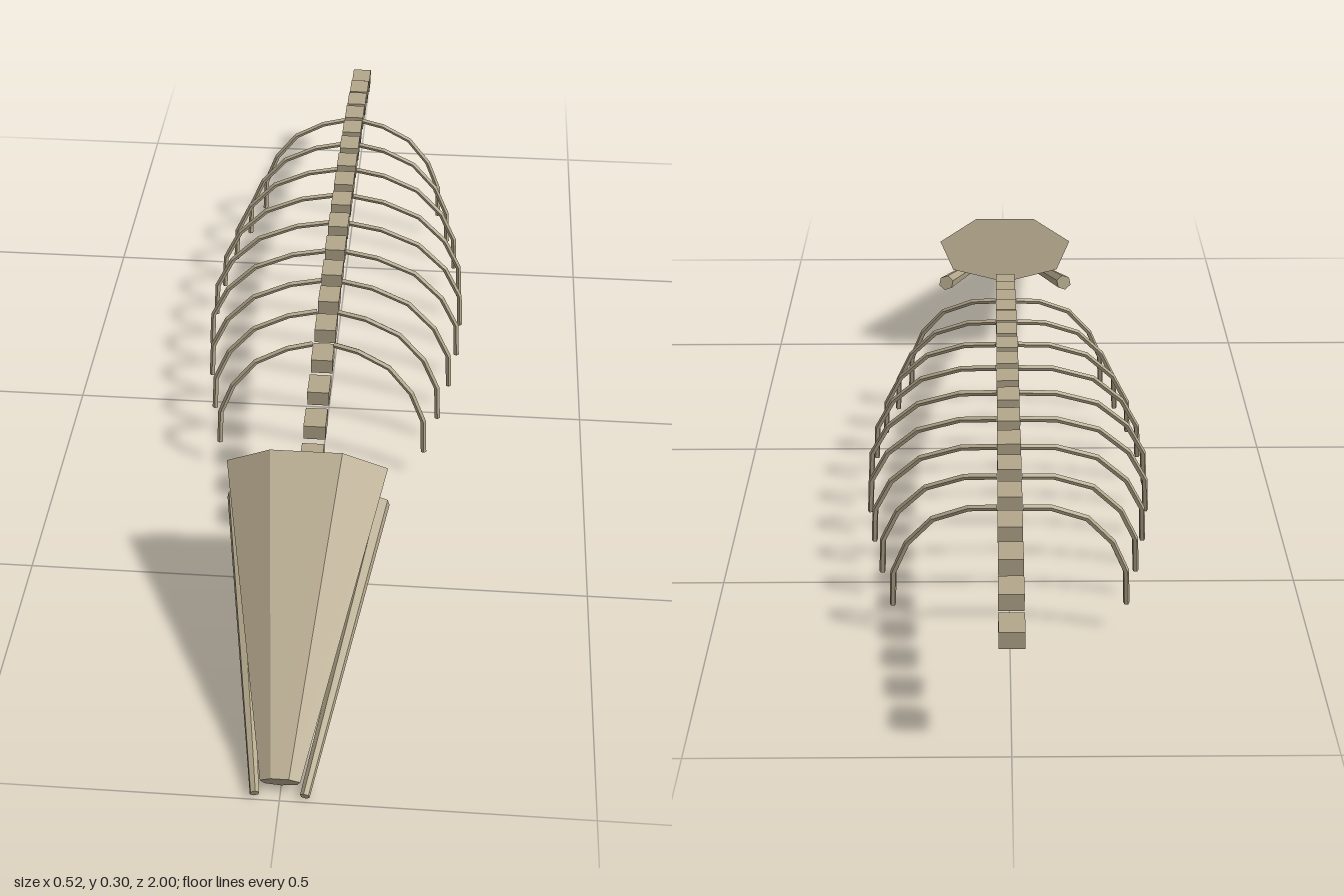
import * as THREE from 'three';

const bone = new THREE.MeshStandardMaterial({ color: 0xb3a78b });
bone.name = 'bone';
bone.flatShading = true;

function add(parent, name, geometry) {
  const mesh = new THREE.Mesh(geometry, bone);
  mesh.name = name;
  parent.add(mesh);
  return mesh;
}

// Tapered rod between two points
function rod(a, b, ra, rb, sides) {
  const dir = b.clone().sub(a);
  const g = new THREE.CylinderGeometry(rb, ra, dir.length(), sides);
  g.applyQuaternion(new THREE.Quaternion().setFromUnitVectors(
    new THREE.Vector3(0, 1, 0), dir.clone().normalize()));
  const mid = a.clone().add(b).multiplyScalar(0.5);
  return g.translate(mid.x, mid.y, mid.z);
}

// Tube whose rings fall exactly on the given points, with capped ends
function rib(parent, name, points) {
  const curve = new THREE.CatmullRomCurve3(points);
  curve.getPointAt = curve.getPoint;
  curve.getTangentAt = curve.getTangent;
  const group = new THREE.Group();
  group.name = name;
  parent.add(group);
  add(group, 'ribShaft', new THREE.TubeGeometry(curve, points.length - 1, 0.0055, 5));
  const tip = points[points.length - 1];
  const end = tip.clone().addScaledVector(curve.getTangent(1), 0.0005);
  add(group, 'ribTip', rod(tip, end, 0.0054, 0.0054, 5));
}

export function createModel() {
  const model = new THREE.Group();
  model.name = 'skeleton';

  // Skull: flattened seven-sided taper, tilted nose down
  const skull = new THREE.CylinderGeometry(0.033, 0.143, 0.555, 7);
  skull.scale(1, 1, 0.5).rotateX(Math.PI / 2 + 0.4).translate(0, 0.1326, 0.726);
  add(model, 'skull', skull);

  // Spine: row of blocks along a shallow arch
  const spine = new THREE.Group();
  spine.name = 'spine';
  model.add(spine);
  for (let i = 0; i < 18; i++) {
    const z = 0.387 - 0.08 * i;
    const block = add(spine, 'vertebra', new THREE.BoxGeometry(0.04, 0.029, 0.053));
    block.position.set(0, 0.273 - 0.155 * (z + 0.34) ** 2, z);
  }

  for (const side of [1, -1]) {
    const label = side > 0 ? 'left' : 'right';

    // Lower jaw rod
    add(model, label + 'Jaw', rod(
      new THREE.Vector3(side * 0.128, 0.165, 0.462),
      new THREE.Vector3(side * 0.04, 0.009, 0.994), 0.016, 0.008, 6));

    // Ribs: widest in the middle of the chest, sweeping forward as they drop
    for (let i = 0; i < 9; i++) {
      const w = 0.195 + 0.059 * Math.sin(Math.PI * i / 8);
      const z = 0.138 - 0.1042 * i;
      const profile = [
        [0.02, 0.262, 0], [0.34 * w, 0.256, 0.01], [0.64 * w, 0.23, 0.021],
        [0.86 * w, 0.18, 0.03], [0.985 * w, 0.12, 0.037], [w, 0.053, 0.045],
      ];
      rib(model, label + 'Rib', profile.map(([x, y, dz]) =>
        new THREE.Vector3(side * x, y, z + dz)));
    }
  }
  return model;
}
